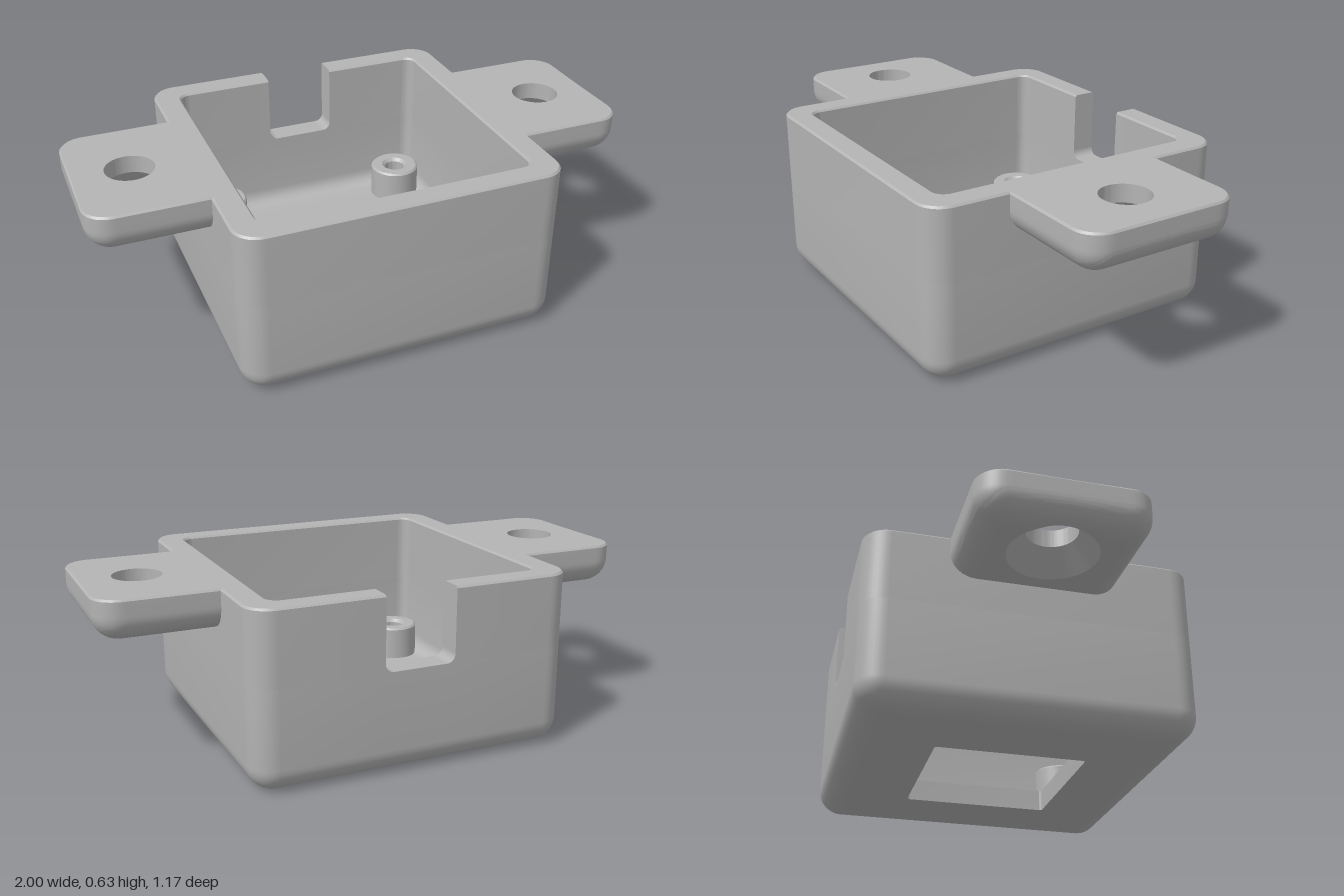
import * as THREE from 'three';
import { toCreasedNormals } from 'three/addons/utils/BufferGeometryUtils.js';

const TOP = 0.635, OX = 0.59, OZ = 0.585, IN = 0.495, FLOOR = 0.08;
const NOTCH_W = 0.13, NOTCH_Y = 0.37, BEVEL = 0.007, FILLET = 0.09;

// Skin a grid of cross-sections; each row is a list of [x, y, z]
function loft(rows, closed) {
  const n = rows[0].length, index = [];
  for (let i = 0; i < rows.length - 1; i++) {
    for (let j = 0; j < (closed ? n : n - 1); j++) {
      const k = (j + 1) % n;
      const a = i * n + j, b = a + n, c = i * n + k, d = c + n;
      index.push(a, b, c, c, b, d);
    }
  }
  const geo = new THREE.BufferGeometry();
  geo.setAttribute('position', new THREE.Float32BufferAttribute(rows.flat(2), 3));
  geo.setIndex(index);
  return toCreasedNormals(geo, 0.6);
}

// Rounded rectangle at height y, starting and ending at the sides of the notch
function ring(hx, hz, r, y) {
  const pts = [[NOTCH_W, y, -hz]];
  const corners = [[1, -1], [1, 1], [-1, 1], [-1, -1]];
  corners.forEach(([sx, sz], q) => {
    for (let i = 0; i <= 10; i++) {
      const a = (q - 1 + i / 10) * Math.PI / 2;
      pts.push([sx * (hx - r) + r * Math.cos(a), y, sz * (hz - r) + r * Math.sin(a)]);
    }
  });
  pts.push([-NOTCH_W, y, -hz]);
  return pts;
}
const outer = (inset, y) => ring(OX - inset, OZ - inset, Math.max(FILLET - inset, 0.002), y);
const inner = (inset, y) => ring(IN - inset, IN - inset, Math.max(0.04 - inset, 0.01), y);

// Tray up to the foot of the notch, with a square window in its floor
function trayGeometry() {
  const rows = [ring(0.27, 0.27, 0.01, 0)];
  for (let i = 0; i <= 9; i++) {
    const a = i / 9 * Math.PI / 2;
    rows.push(outer(FILLET * (1 - Math.sin(a)), FILLET * (1 - Math.cos(a))));
  }
  rows.push(outer(0, NOTCH_Y), inner(0, NOTCH_Y));
  const f = 0.06;
  for (let i = 0; i <= 6; i++) {
    const a = i / 6 * Math.PI / 2;
    rows.push(inner(f * (1 - Math.cos(a)), FLOOR + f * (1 - Math.sin(a))));
  }
  rows.push(ring(0.27, 0.27, 0.01, FLOOR), rows[0]);
  return loft(rows, true);
}

// Mounting ear around the hole axis, countersunk from below
const EAR_X = 0.795, HOLE = 0.087, SINK = 0.153, EAR_Y = 0.485, SINK_Y = 0.57;
function earGeometry() {
  // Distance inside the rounded outline of the ear
  const depth = (x, z) => {
    const qx = Math.abs(x - 0.6) - 0.4 + FILLET, qz = Math.abs(z) - 0.295 + FILLET;
    return FILLET - Math.hypot(Math.max(qx, 0), Math.max(qz, 0)) - Math.min(Math.max(qx, qz), 0);
  };
  const rays = [];
  for (let i = 0; i < 128; i++) {
    const a = i / 128 * Math.PI * 2, c = Math.cos(a), s = Math.sin(a);
    let lo = 0, hi = 0.6;
    for (let k = 0; k < 30; k++) {
      const m = (lo + hi) / 2, x = EAR_X + c * m;
      if (depth(x, s * m) > 0 && x > 0.55) lo = m; else hi = m;
    }
    rays.push({ c, s, edge: lo });
  }
  const row = (radius, height) => rays.map((ray) => {
    const r = radius(ray), x = EAR_X + ray.c * r, z = ray.s * r;
    return [x, height(x, z, r), z];
  });
  const under = (x, z, r) => {
    const d = FILLET - Math.min(Math.max(depth(x, z), 0), FILLET);
    const round = EAR_Y + FILLET - Math.sqrt(Math.max(FILLET * FILLET - d * d, 0));
    const cone = EAR_Y + (SINK - r) / (SINK - HOLE) * (SINK_Y - EAR_Y);
    return Math.max(round, cone);
  };
  const rows = [row(() => HOLE, () => TOP)];
  for (let i = 0; i <= 6; i++) {
    rows.push(row(() => HOLE + (SINK - HOLE) * i / 6, under));
  }
  for (let i = 1; i <= 20; i++) {
    const t = Math.sin(i / 20 * Math.PI / 2);
    rows.push(row((ray) => SINK + (ray.edge - SINK) * t, under));
  }
  rows.push(row((ray) => ray.edge, () => TOP - BEVEL));
  rows.push(row((ray) => ray.edge - BEVEL, () => TOP));
  rows.push(rows[0]);
  return loft(rows, true);
}

export function createModel() {
  const model = new THREE.Group();
  const grey = new THREE.MeshStandardMaterial({ color: 0xb4b4b4 });
  grey.name = 'grey plastic';
  const add = (name, geo) => {
    const mesh = new THREE.Mesh(geo, grey);
    mesh.name = name;
    model.add(mesh);
    return mesh;
  };

  add('tray', trayGeometry());

  // Upper wall, open at the notch in the back
  const wall = [
    outer(0, NOTCH_Y), outer(0, TOP - BEVEL), outer(BEVEL, TOP),
    inner(-BEVEL, TOP), inner(0, TOP - BEVEL), inner(0, NOTCH_Y),
  ];
  add('upperWall', loft(wall, false));
  const last = wall[0].length - 1;
  const section = (j) => [wall.slice(0, 3).map((r) => r[j]), wall.slice(3).reverse().map((r) => r[j])];
  add('notchLeftFace', loft(section(0), false));
  add('notchRightFace', loft(section(last).reverse(), false));

  // Rounded lower corners of the notch
  for (const s of [1, -1]) {
    const q = 0.03;
    const pts = [new THREE.Vector2(s * NOTCH_W, NOTCH_Y)];
    for (let i = 0; i <= 6; i++) {
      const a = i / 6 * Math.PI / 2;
      pts.push(new THREE.Vector2(s * (NOTCH_W - q + q * Math.cos(a)), NOTCH_Y + q - q * Math.sin(a)));
    }
    const geo = new THREE.ExtrudeGeometry(new THREE.Shape(pts), { depth: OZ - IN, bevelEnabled: false });
    add('notchCorner', toCreasedNormals(geo.translate(0, 0, -OZ), 0.6));
  }

  // Mounting ears
  const ear = earGeometry();
  add('leftEar', ear);
  add('rightEar', ear).rotation.y = Math.PI;

  // Screw posts with blind holes
  const profile = [
    [0.097, 0.07], [0.097, 0.203], [0.09, 0.21], [0.052, 0.21], [0.04, 0.198], [0.04, 0.09], [0, 0.09],
  ].map(([x, y]) => new THREE.Vector2(x, y));
  const post = toCreasedNormals(new THREE.LatheGeometry(profile, 40), 0.6);
  for (const x of [-0.38, 0.38]) {
    for (const z of [-0.38, 0.38]) add('screwPost', post).position.set(x, 0, z);
  }
  return model;
}
